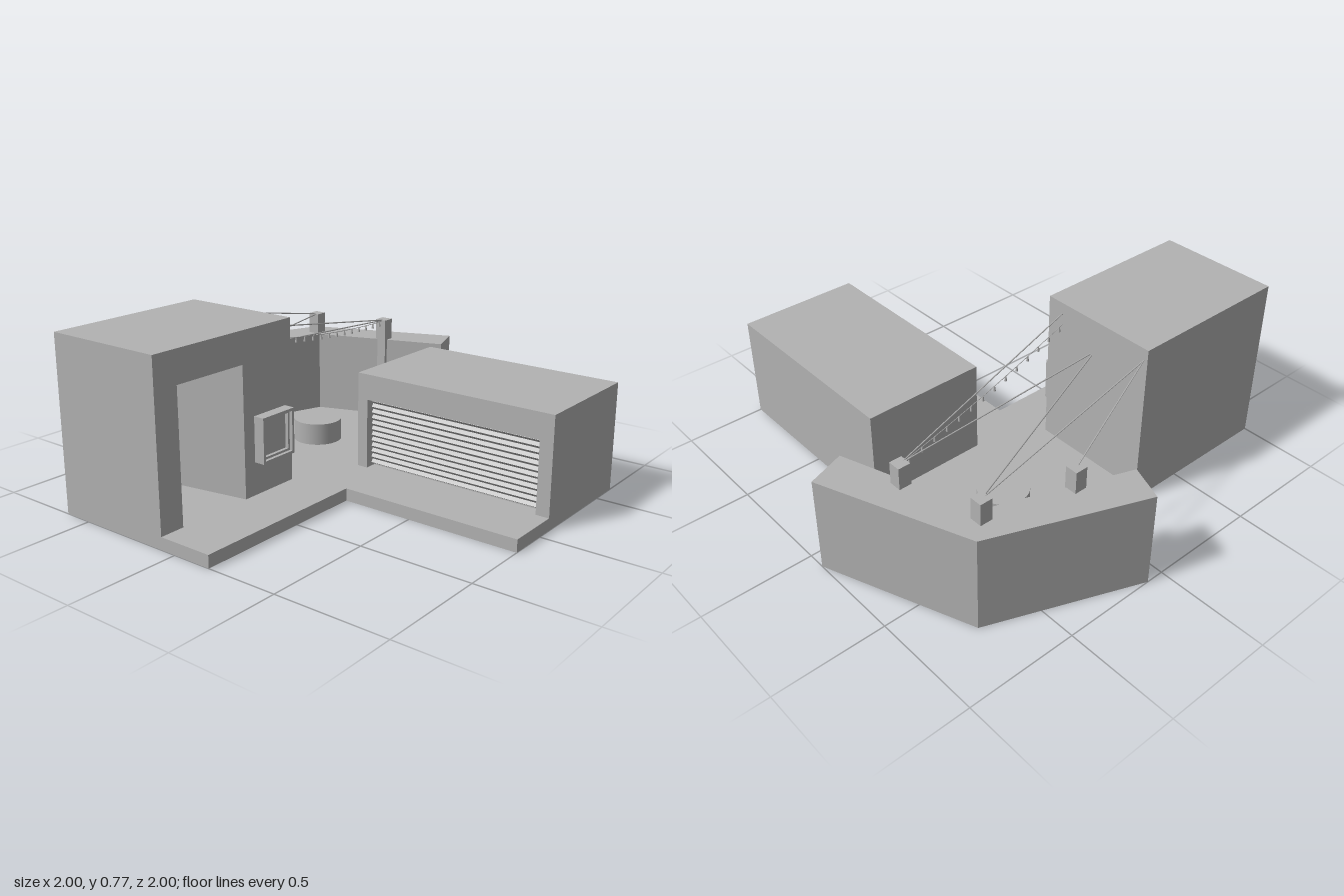
import * as THREE from 'three';

const FLOOR = 0.055;

export function createModel() {
  const model = new THREE.Group();
  const grey = new THREE.MeshStandardMaterial({ color: 0xb2b2b2 });
  grey.name = 'plain grey';

  const add = (name, geometry) => {
    const mesh = new THREE.Mesh(geometry, grey);
    mesh.name = name;
    model.add(mesh);
    return mesh;
  };
  const box = (name, x0, x1, y0, y1, z0, z1) =>
    add(name, new THREE.BoxGeometry(x1 - x0, y1 - y0, z1 - z0)
      .translate((x0 + x1) / 2, (y0 + y1) / 2, (z0 + z1) / 2));
  const toShape = pts => new THREE.Shape(pts.map(p => new THREE.Vector2(...p)));
  // floor plan of [x, z] points raised from y0 to y1
  const plan = (name, pts, y0, y1) =>
    add(name, new THREE.ExtrudeGeometry(toShape(pts.map(([x, z]) => [x, -z])),
      { depth: y1 - y0, bevelEnabled: false }).rotateX(-Math.PI / 2).translate(0, y0, 0));

  // courtyard slab
  plan('floorSlab', [[-0.63, 1], [0.18, 1], [0.18, 0.18], [1, 0.18], [1, -0.63], [0.05, -0.63],
    [-0.02, -0.83], [-0.08, -1], [-0.74, -0.74], [-1, -0.08], [-0.84, -0.02], [-0.63, 0.24]], 0, FLOOR);

  // tall building with a tapered, deep doorway in its +x side
  const back = -0.42;
  plan('tallBuilding', [[-0.63, 1], [-0.07, 1], [-0.07, 0.885], [back, 0.83], [back, 0.59],
    [-0.07, 0.53], [-0.07, 0.24], [-0.63, 0.24]], FLOOR, 0.63);
  box('tallBuildingTop', -0.63, -0.07, 0.63, 0.77, 0.24, 1);
  add('doorwayCeiling', new THREE.ExtrudeGeometry(
    toShape([[-0.07, 0.63], [back, 0.63], [back, 0.59]]),
    { depth: 0.355, bevelEnabled: false }).translate(0, 0, 0.53));

  // framed hatch beside the doorway
  const ring = (name, inset, width, x0, depth) => {
    const rect = i => [[-0.47 + i, 0.2 + i], [-0.28 - i, 0.2 + i], [-0.28 - i, 0.4 - i], [-0.47 + i, 0.4 - i]];
    const shape = toShape(rect(inset));
    shape.holes.push(new THREE.Path(rect(inset + width).map(p => new THREE.Vector2(...p))));
    add(name, new THREE.ExtrudeGeometry(shape, { depth, bevelEnabled: false })
      .rotateY(Math.PI / 2).translate(x0, 0, 0));
  };
  ring('hatchFrame', 0, 0.012, -0.07, 0.05);
  ring('hatchInnerFrame', 0.012, 0.01, -0.07, 0.035);
  box('hatchPanel', -0.07, -0.05, 0.22, 0.38, 0.30, 0.45);

  // low building with a shuttered front
  const open = -0.125;
  plan('lowBuilding', [[0.05, -0.07], [0.10, -0.07], [0.10, open], [0.94, open], [0.94, -0.07],
    [1, -0.07], [1, -0.63], [0.05, -0.63]], FLOOR, 0.37);
  box('lowBuildingTop', 0.05, 1, 0.37, 0.485, -0.63, -0.07);

  // roller shutter: a sawtooth profile swept across the opening
  const slats = 12, y0 = 0.06, pitch = (0.37 - y0) / slats;
  const saw = [[open, y0]];
  for (let i = 0; i < slats; i++) {
    saw.push([open + 0.022, y0 + (i + 0.45) * pitch], [open + 0.012, y0 + (i + 1) * pitch]);
  }
  saw.push([open, 0.37]);
  add('rollerShutter', new THREE.ExtrudeGeometry(toShape(saw.map(([z, y]) => [-z, y])),
    { depth: 0.84, bevelEnabled: false }).rotateY(Math.PI / 2).translate(0.10, 0, 0));

  // angled rear wall
  plan('rearWall', [[-1, -0.08], [-0.84, -0.02], [-0.62, -0.62], [-0.02, -0.83],
    [-0.08, -1], [-0.74, -0.74]], FLOOR, 0.445);

  // posts along the wall
  const posts = [[-0.76, -0.27], [-0.66, -0.65], [-0.31, -0.75]];
  for (const [x, z] of posts) box('wallPost', x - 0.028, x + 0.028, FLOOR, 0.545, z - 0.028, z + 0.028);

  // round plinth
  add('roundPlinth', new THREE.CylinderGeometry(0.112, 0.112, 0.1, 48).translate(-0.33, FLOOR + 0.05, -0.25));

  // wires from the posts to the tall building
  const strand = (name, points, radius) => add(name,
    new THREE.TubeGeometry(new THREE.CatmullRomCurve3(points), points.length > 2 ? 16 : 1, radius, 6));
  const wires = [[0, -0.61, 0.715], [1, -0.61, 0.715], [1, -0.33, 0.6], [2, -0.32, 0.6], [2, -0.15, 0.72]];
  for (const [i, x, y] of wires) {
    const [px, pz] = posts[i];
    strand('wire', [new THREE.Vector3(px, 0.54, pz), new THREE.Vector3(x, y, 0.24)], 0.003);
  }

  // string of small hanging lamps
  const cable = new THREE.LineCurve3(new THREE.Vector3(-0.31, 0.535, -0.75), new THREE.Vector3(-0.15, 0.665, 0.24));
  const at = t => cable.getPoint(t).add(new THREE.Vector3(0, -0.06 * t * (1 - t), 0));
  strand('lampCable', [0, 0.25, 0.5, 0.75, 1].map(at), 0.0015);
  for (let i = 0; i < 14; i++) {
    const p = at(0.05 + i * 0.0715);
    add('lamp', new THREE.CylinderGeometry(0.003, 0.006, 0.022, 8).translate(p.x, p.y - 0.011, p.z));
  }
  return model;
}
